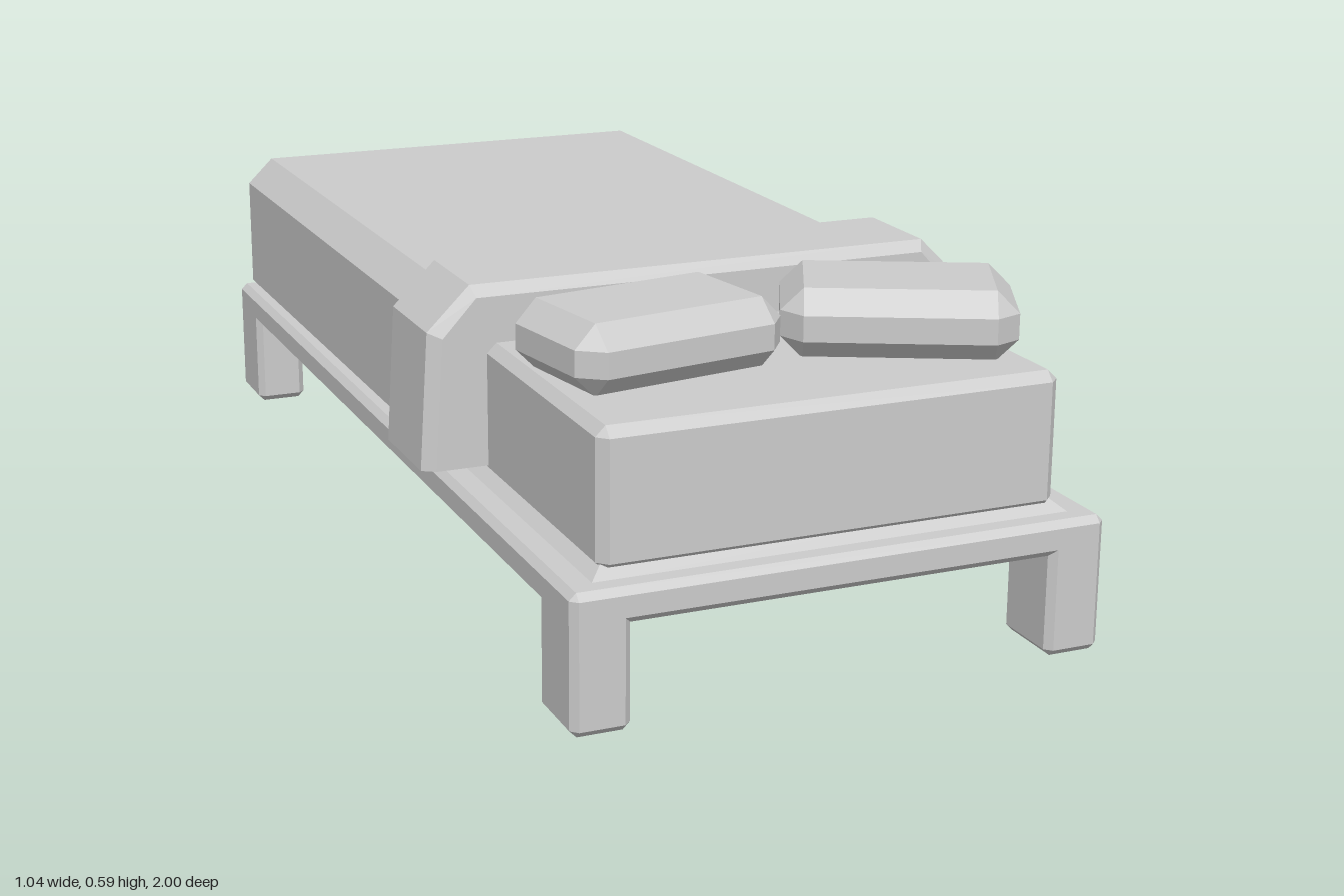
import * as THREE from 'three';
import { ConvexGeometry } from 'three/addons/geometries/ConvexGeometry.js';

const material = new THREE.MeshStandardMaterial({ color: 0xcccccc, flatShading: true });
const SIDES = [-1, 1];

function part(name, points) {
  const mesh = new THREE.Mesh(new ConvexGeometry(points), material);
  mesh.name = name;
  return mesh;
}

// Box with every edge cut at 45 degrees; size is [x, y, z]
function chamferBox(name, size, c, position) {
  const [hx, hy, hz] = size.map((s) => s / 2);
  const points = [];
  for (const x of SIDES) for (const y of SIDES) for (const z of SIDES) {
    points.push(
      new THREE.Vector3(x * hx, y * (hy - c), z * (hz - c)),
      new THREE.Vector3(x * (hx - c), y * hy, z * (hz - c)),
      new THREE.Vector3(x * (hx - c), y * (hy - c), z * hz)
    );
  }
  const mesh = part(name, points);
  mesh.position.set(...position);
  return mesh;
}

// Solid through mirrored cross-sections: each is { z, half: [[x, y], ...] }
function mirroredSolid(name, sections) {
  const points = [];
  for (const { z, half } of sections)
    for (const [x, y] of half)
      for (const s of SIDES) points.push(new THREE.Vector3(s * x, y, z));
  return part(name, points);
}

export function createModel() {
  const bed = new THREE.Group();
  bed.name = 'bed';

  // Frame slab and four legs
  bed.add(chamferBox('frame', [0.936, 0.06, 2], 0.012, [0, 0.206, 0]));
  for (const x of SIDES) for (const z of SIDES)
    bed.add(chamferBox('leg', [0.1, 0.23, 0.14], 0.012, [x * 0.418, 0.115, z * 0.93]));

  // Sloped pad between frame and mattress
  bed.add(mirroredSolid('mattressBase', [
    { z: -0.95, half: [[0.42, 0.235]] },
    { z: -0.92, half: [[0.39, 0.26]] },
    { z: 0.93, half: [[0.39, 0.26]] },
    { z: 0.96, half: [[0.42, 0.235]] },
  ]));

  // Mattress
  bed.add(chamferBox('mattress', [0.805, 0.235, 1.87], 0.017, [0, 0.357, 0.014]));

  // Blanket with cut top and rear edges
  const blanket = (y) => [[0.458, 0.26], [0.458, y - 0.05], [0.407, y]];
  bed.add(mirroredSolid('blanket', [
    { z: 0.25, half: blanket(0.53) },
    { z: -0.922, half: blanket(0.525) },
    { z: -0.975, half: [[0.407, 0.26], [0.407, 0.475]] },
  ]));

  // Turned-over blanket fold
  const outer = [[0.518, 0.26], [0.503, 0.5], [0.427, 0.575]];
  const inset = [[0.495, 0.26], [0.48, 0.49], [0.42, 0.555]];
  bed.add(mirroredSolid('blanketFold', [
    { z: 0.235, half: inset },
    { z: 0.25, half: outer },
    { z: 0.433, half: outer },
    { z: 0.448, half: inset },
  ]));

  // Two loosely placed pillows
  for (const [x, z, turn] of [[-0.202, 0.667, 0.165], [0.236, 0.696, -0.45]]) {
    const pillow = chamferBox('pillow', [0.39, 0.12, 0.26], 0.038, [x, 0.53, z]);
    pillow.rotation.y = turn;
    bed.add(pillow);
  }

  for (const child of bed.children) child.position.x -= 0.003;
  return bed;
}
